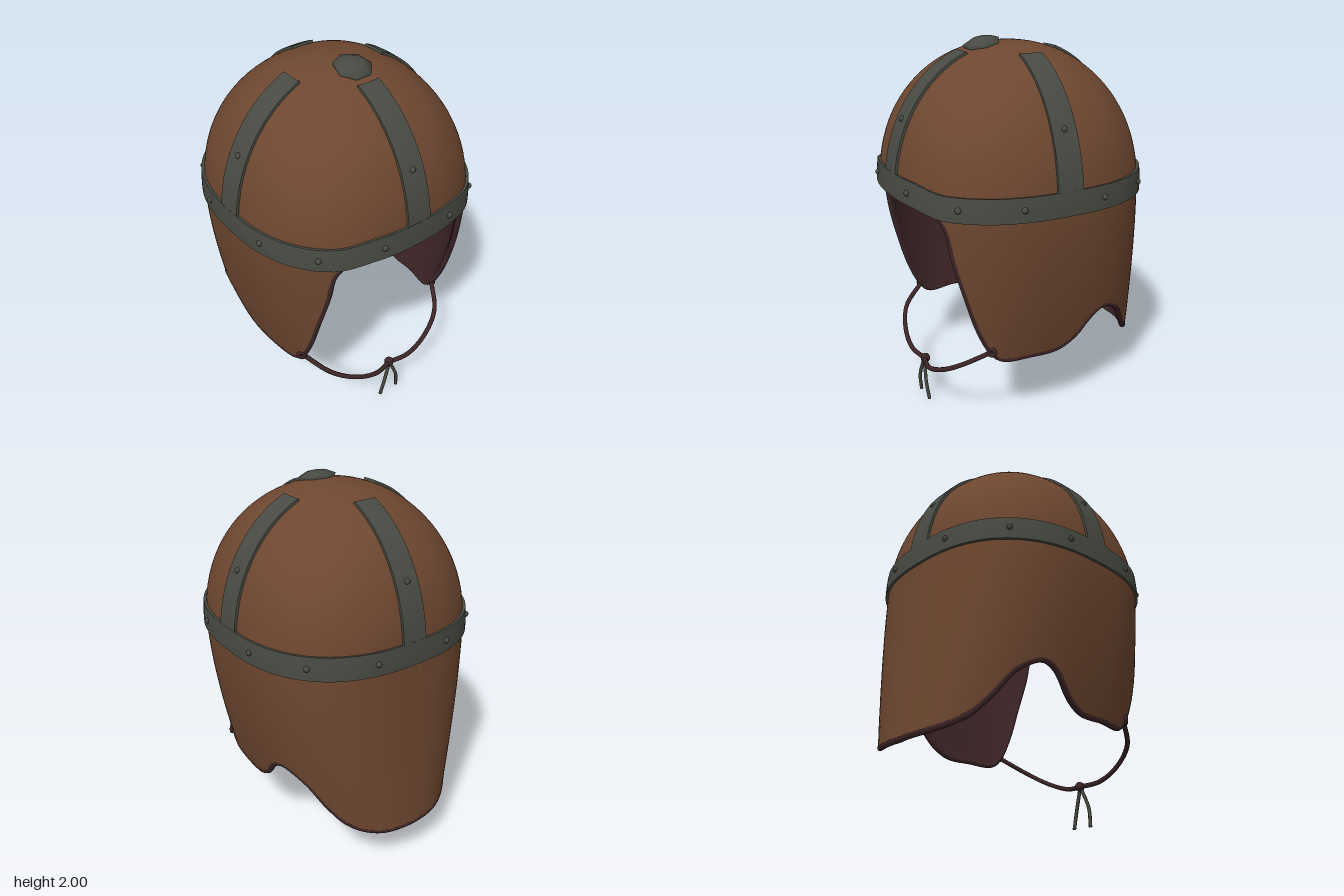
import * as THREE from 'three';
import { mergeGeometries } from 'three/addons/utils/BufferGeometryUtils.js';

const mat = (name, color, side = THREE.FrontSide) =>
  Object.assign(new THREE.MeshStandardMaterial({ color, side }), { name });

const BASE = 1.2, H = 0.77, ZC = 0.02, RAD = Math.PI / 180;
const lerp = THREE.MathUtils.lerp;

// Half-widths and squareness of the horizontal section at height y, offset outward by d
function section(y, d) {
  if (y > BASE) {
    const f = Math.min((y - BASE) / H, 1);
    const s = Math.pow(1 - Math.pow(f, 2.15), 1 / 2.15);
    return { a: (0.65 + d) * s, front: (0.67 + d) * s, back: (0.67 + d) * s, n: 2 + 0.5 * s };
  }
  const t = (BASE - y) / 0.78;
  return { a: 0.65 - 0.12 * Math.pow(t, 1.6) + d, front: 0.67 - 0.03 * t + d, back: 0.67 + 0.05 * t + d, n: 2.5 };
}
const lift = (y, d) => (y > BASE ? BASE + (y - BASE) * (H + d) / H : y);

// Point on the helmet at azimuth th (0 = front, towards +x) and height y
function onHelmet(th, y, d) {
  const { a, front, back, n } = section(y, d);
  const s = Math.sin(th), c = Math.cos(th);
  if (a < 1e-6) return new THREE.Vector3(0, lift(y, d), ZC);
  const r = Math.pow(Math.pow(Math.abs(s) / a, n) + Math.pow(Math.abs(c) / (c > 0 ? front : back), n), -1 / n);
  return new THREE.Vector3(r * s, lift(y, d), ZC + r * c);
}

// Grid surface from f(i, j), facing out when i runs rightward and j runs downward
function grid(f, nu, nv, { wrap = false, flip = false } = {}) {
  const pos = [], idx = [], cols = wrap ? nu : nu + 1;
  for (let j = 0; j <= nv; j++) for (let i = 0; i < cols; i++) pos.push(...f(i, j).toArray());
  for (let j = 0; j < nv; j++) for (let i = 0; i < nu; i++) {
    const k = (i + 1) % cols;
    const a = j * cols + i, b = j * cols + k, c = a + cols, e = b + cols;
    if (flip) idx.push(a, b, c, b, e, c);
    else idx.push(a, c, b, b, c, e);
  }
  const g = new THREE.BufferGeometry();
  g.setAttribute('position', new THREE.Float32BufferAttribute(pos, 3));
  g.setIndex(idx);
  g.computeVertexNormals();
  return g;
}

// Raised strip with crisp edge walls; P(u, v, d) is a point at offset d
function slab(P, nu, nv, d0, d1) {
  return mergeGeometries([
    grid((i, j) => P(i / nu, j / nv, d1), nu, nv),
    grid((i, t) => P(i / nu, 1, t ? d0 : d1), nu, 1),
    grid((i, t) => P(i / nu, 0, t ? d1 : d0), nu, 1),
    grid((t, j) => P(1, j / nv, t ? d0 : d1), 1, nv),
    grid((t, j) => P(0, j / nv, t ? d1 : d0), 1, nv),
  ]);
}

// Lower edge of one half: azimuth in degrees, height
const EDGE = [[0, 1.235], [14, 1.235], [28, 1.235], [34, 1.21], [37.5, 1.15], [40, 1.0], [44.4, 0.8], [49, 0.6],
  [54, 0.47], [59, 0.415], [75, 0.41], [93, 0.412], [103, 0.465], [112, 0.575], [119, 0.61], [131, 0.55],
  [142, 0.41], [151, 0.315], [163, 0.265], [180, 0.25]];

export function createModel() {
  const leather = mat('brown leather', 0x6e4730);
  const lining = mat('dark lining', 0x3d2527, THREE.DoubleSide);
  const iron = mat('dark iron', 0x484b43);
  const cord = mat('grey cord', 0x45463b, THREE.DoubleSide);

  const group = new THREE.Group();
  const add = (name, geo, m) => {
    const mesh = new THREE.Mesh(geo, m);
    mesh.name = name;
    group.add(mesh);
    return mesh;
  };

  // Columns spaced evenly along the lower edge, mirrored to the other half
  const half = new THREE.CatmullRomCurve3(EDGE.map(([t, y]) => new THREE.Vector3(t * RAD * 0.6, y, 0)), false, 'centripetal')
    .getSpacedPoints(72).map((p) => ({ th: p.x / 0.6, y: p.y }));
  const edge = [...half, ...half.slice(1, -1).reverse().map((p) => ({ th: 2 * Math.PI - p.th, y: p.y }))];

  // Leather shell and inner lining
  const DOME = 22, SIDE = 18, JOIN = 1.3;
  const joinAngle = Math.asin((JOIN - BASE) / H);
  const shell = (d, flip) => grid((i, j) => {
    const e = edge[i];
    const y = j <= DOME
      ? BASE + H * Math.sin(lerp(Math.PI / 2, joinAngle, j / DOME))
      : lerp(JOIN, e.y, (j - DOME) / SIDE);
    return onHelmet(e.th, y, d);
  }, edge.length, DOME + SIDE, { wrap: true, flip });
  add('leatherShell', shell(0, false), leather);
  add('innerLining', shell(-0.025, true), lining);

  // Rolled edge binding
  const rim = new THREE.CatmullRomCurve3(edge.map((e) => onHelmet(e.th, e.y, -0.012)), true);
  add('edgeBinding', new THREE.TubeGeometry(rim, 300, 0.016, 8, true), lining);

  // Brow band, arched slightly above the face
  const arch = (th) => {
    const deg = Math.abs(Math.atan2(Math.sin(th), Math.cos(th))) / RAD;
    return 0.027 * (1 - THREE.MathUtils.smoothstep(deg, 20, 38));
  };
  add('browBand', slab((u, v, d) => {
    const th = (u * 2 - 1) * Math.PI;
    return onHelmet(th, lerp(1.328, 1.206, v) + arch(th), d);
  }, 96, 4, -0.01, 0.014), iron);

  // Rivets
  const rivetGeo = new THREE.SphereGeometry(0.016, 10, 8);
  const rivet = (p) => add('rivet', rivetGeo, iron).position.copy(p);
  for (const deg of [17.5, 43.5, 69, 107, 134, 162])
    for (const s of [1, -1]) rivet(onHelmet(s * deg * RAD, 1.268 + arch(deg * RAD), 0.014));

  // Four dome straps, each with a rivet
  ['frontStrap', 'leftStrap', 'backStrap', 'rightStrap'].forEach((name, k) => {
    const th = k * Math.PI / 2, s = Math.sin(th), c = Math.cos(th);
    add(name, slab((u, v, d) => {
      const y = BASE + H * Math.sin(lerp(69.5, 7, v) * RAD);
      const { a, front, n } = section(y, d);
      const [A, B] = k % 2 ? [a, front] : [front, a];
      const w = (u - 0.5) * lerp(0.125, 0.142, v);
      const f = A * Math.pow(1 - Math.pow(Math.abs(w) / B, n), 1 / n);
      return new THREE.Vector3(s * f + c * w, lift(y, d), ZC + c * f - s * w);
    }, 6, 24, -0.012, 0.013), iron);
    rivet(onHelmet(th, 1.61, 0.012));
  });

  // Seven-sided crown stud
  const studProfile = [[0.085, -0.03], [0.1, 0], [0.052, 0.022], [0, 0.027]].map((p) => new THREE.Vector2(...p));
  const stud = add('crownStud', new THREE.LatheGeometry(studProfile, 7, Math.PI), iron);
  stud.position.set(0, 1.968, 0.165);
  stud.rotation.x = 0.2;

  // Chin cord with knots and hanging tails
  const tube = (pts, r, n) =>
    new THREE.TubeGeometry(new THREE.CatmullRomCurve3(pts.map((p) => new THREE.Vector3(...p))), n, r, 8);
  for (const s of [1, -1]) {
    add('chinCord', tube([[s * 0.485, 0.47, 0.36], [s * 0.39, 0.38, 0.5], [s * 0.26, 0.3, 0.56],
      [s * 0.12, 0.247, 0.575], [0, 0.235, 0.55]], 0.013, 32), lining);
    const knot = add('cheekKnot', new THREE.TorusGeometry(0.018, 0.011, 8, 14), lining);
    knot.position.set(s * 0.492, 0.472, 0.372);
    knot.rotation.y = s * 0.8;
    add('cordTail', tube([[0, 0.235, 0.55], [s * 0.045, 0.11, 0.563], [s * 0.06, 0.004, 0.553]], 0.01, 12), cord);
  }
  add('chinKnot', new THREE.SphereGeometry(0.027, 12, 10), lining).position.set(0, 0.235, 0.545);

  return group;
}
